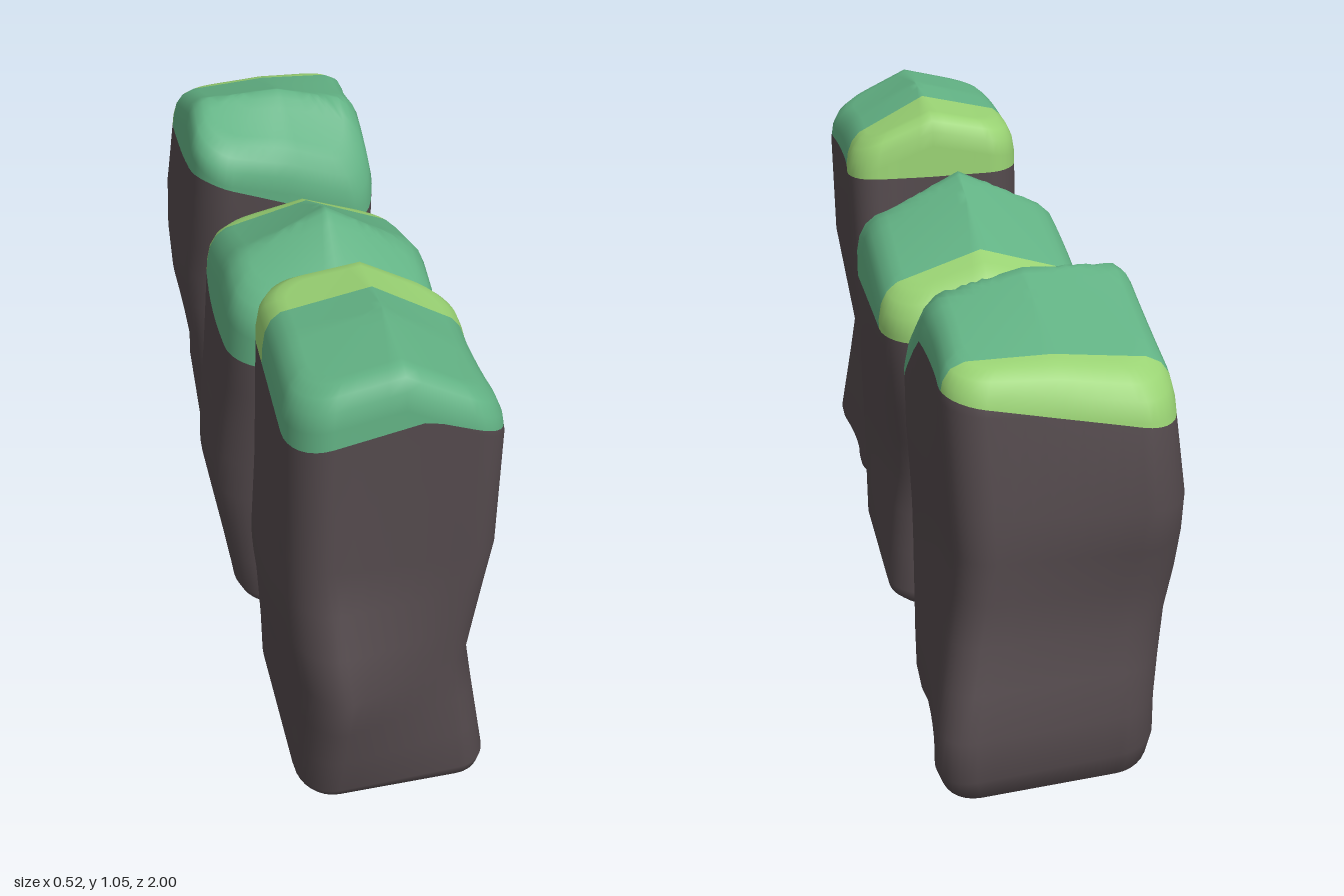
import * as THREE from 'three';
import { mergeVertices } from 'three/addons/utils/BufferGeometryUtils.js';

function material(name, color) {
  const m = new THREE.MeshStandardMaterial({ color });
  m.name = name;
  return m;
}
const rock = material('rock', 0x53494c);
const moss = material('moss', 0x62b284);
const paleMoss = material('pale moss', 0x99d273);

const { lerp } = THREE.MathUtils;

// Rounded square outline in u, v (-1 to 1), running from +u towards +v
function outline(radius = 0.38, steps = 8) {
  const points = [];
  const centre = 1 - radius;
  for (let k = 0; k < 4; k++) {
    const middle = (k + 0.5) * Math.PI / 2;
    const cu = Math.sign(Math.cos(middle)) * centre, cv = Math.sign(Math.sin(middle)) * centre;
    const arc = (i) => (k + i / steps) * Math.PI / 2;
    for (let i = 0; i <= steps; i++)
      points.push([cu + radius * Math.cos(arc(i)), cv + radius * Math.sin(arc(i))]);
    // straight run towards the next corner
    const [u, v] = points[points.length - 1];
    for (let i = 1; i < steps; i++) {
      const d = 2 * centre * i / steps;
      points.push([u - Math.sin(arc(steps)) * d, v + Math.cos(arc(steps)) * d]);
    }
  }
  return points;
}

// Height from a 3 x 3 grid (rows back to front, columns -x to +x) with a ridge at row v = ridge
function crownHeight(grid, ridge, u, v) {
  const along = (t, k, [a, b, c]) => (t < k ? lerp(a, b, (t + 1) / (k + 1)) : lerp(b, c, (t - k) / (1 - k)));
  return along(v, ridge, grid.map((row) => along(u, 0, row)));
}

// Split triangles where the value crosses zero: [positive side, negative side]
function cut(tris, value) {
  return [1, -1].map((sign) => {
    const side = [];
    for (const tri of tris) {
      const d = tri.map(value);
      const poly = [];
      tri.forEach((p, i) => {
        const j = (i + 1) % 3;
        if (d[i] * sign >= 0) poly.push(p);
        if (d[i] * d[j] < 0) poly.push(p.map((c, n) => lerp(c, tri[j][n], d[i] / (d[i] - d[j]))));
      });
      for (let i = 2; i < poly.length; i++) side.push([poly[0], poly[i - 1], poly[i]]);
    }
    return side;
  });
}

function meshFrom(tris, mat, name) {
  const points = tris.flat();
  const geo = new THREE.BufferGeometry();
  geo.setAttribute('position', new THREE.Float32BufferAttribute(points.flatMap((p) => p.slice(0, 3)), 3));
  geo.setAttribute('normal', new THREE.Float32BufferAttribute(points.flatMap((p) => p.slice(3, 6)), 3));
  const mesh = new THREE.Mesh(geo, mat);
  mesh.name = name;
  return mesh;
}

// One stone: a rounded block with bulges [u, v, y, dx, dz] at corners (v = 1 or -1) or side
// middles (v = 0), a pinched +x side, a sloped crown and a moss cap
function pillar({ name, rect: [x0, x1, z0, z1], pinch, bulges, crown, ridge, mossLine, base, paleZ }) {
  const ring = outline();
  const n = ring.length;
  const position = [], mossDepth = [];
  let rings = 0;
  const addRing = (scale, height) => {
    for (const [ru, rv] of ring) {
      const u = ru * scale, v = rv * scale, y = height(u, v);
      let x = lerp(x0, x1, (u + 1) / 2) - pinch * Math.max(0, u) * (1 - v * v);
      let z = lerp(z0, z1, (v + 1) / 2);
      for (const [bu, bv, by, dx, dz] of bulges) {
        const across = bv === 0 ? 1 - v * v : (1 + v * bv) / 2;
        const w = Math.max(0, 1 - Math.abs(y - by) / 0.3) * across * (1 + u * bu) / 2;
        x += dx * w;
        z += dz * w;
      }
      position.push(x, y, z);
      mossDepth.push(y - mossLine(u, v));
    }
    rings++;
  };
  // underside, from the centre out
  for (let s = 0; s < 0.8; s += 0.25) addRing(s, base);
  addRing(0.88, (u, v) => base(u, v) + 0.012);
  addRing(0.96, (u, v) => base(u, v) + 0.03);
  // walls
  for (let y = 0.1; y < 0.65; y += 0.088) addRing(1, () => y);
  // rounded rim and crown, in to the centre
  const top = (drop) => (u, v) => crownHeight(crown, ridge, u, v) - drop;
  addRing(1, top(0.07));
  addRing(0.975, top(0.035));
  addRing(0.92, top(0.012));
  for (let k = 10; k >= 0; k--) addRing(k * 0.083, top(0));

  const index = [];
  for (let r = 0; r < rings - 1; r++) {
    for (let i = 0; i < n; i++) {
      const a = r * n + i, b = r * n + (i + 1) % n;
      if (r > 0) index.push(a, a + n, b);
      if (r < rings - 2) index.push(b, a + n, b + n);
    }
  }
  let geo = new THREE.BufferGeometry();
  geo.setAttribute('position', new THREE.Float32BufferAttribute(position, 3));
  geo.setAttribute('mossDepth', new THREE.Float32BufferAttribute(mossDepth, 1));
  geo.setIndex(index);
  geo = mergeVertices(geo, 1e-5);
  geo.computeVertexNormals();

  const { position: P, normal: N, mossDepth: M } = geo.attributes;
  const corner = (i) => [P.getX(i), P.getY(i), P.getZ(i), N.getX(i), N.getY(i), N.getZ(i), M.getX(i)];
  const ids = geo.index.array;
  const tris = [];
  for (let i = 0; i < ids.length; i += 3) tris.push([corner(ids[i]), corner(ids[i + 1]), corner(ids[i + 2])]);

  // colour borders follow the moss line and a straight line across the crown
  const [mossy, bare] = cut(tris, (p) => p[6]);
  const [pale, green] = cut(mossy, (p) => paleZ - p[2]);
  const group = new THREE.Group();
  group.name = name;
  group.add(meshFrom(bare, rock, 'stone'), meshFrom(green, moss, 'mossCap'), meshFrom(pale, paleMoss, 'paleMossEdge'));
  return group;
}

export function createModel() {
  const model = new THREE.Group();
  model.name = 'mossyPillars';

  model.add(pillar({
    name: 'frontPillar', paleZ: 0.58, ridge: 0.1, pinch: 0.025,
    rect: [-0.19, 0.242, 0.4, 0.918],
    bulges: [
      [-1, 1, 0.36, 0.045, 0.11], [-1, 1, 0.08, 0.01, 0.03], [-1, -1, 0.36, 0.01, -0.04], [-1, 0, 0.42, -0.05, 0],
      [1, 1, 0.36, -0.05, -0.025], [1, -1, 0.36, -0.04, 0.01], [1, -1, 0.9, 0, 0.04], [1, -1, 0.08, -0.01, 0.03],
    ],
    crown: [[0.99, 1.03, 0.94], [1, 1.055, 0.945], [0.99, 1.04, 0.94]],
    mossLine: (u, v) => 0.885 - 0.008 * u + 0.06 * Math.max(0, v) * (1 - Math.abs(u - 0.2)),
    base: () => 0.045,
  }));

  model.add(pillar({
    name: 'middlePillar', paleZ: -0.145, ridge: 0.3, pinch: 0,
    rect: [-0.207, 0.245, -0.254, 0.308],
    bulges: [
      [-1, 1, 0.36, -0.025, -0.01], [-1, 0, 0.38, -0.045, 0], [-1, 0, 0.66, -0.02, 0],
      [1, -1, 0.36, -0.04, 0.05], [-1, -1, 0.36, 0, 0.01], [1, 1, 0.1, -0.01, -0.02],
    ],
    crown: [[0.79, 0.84, 0.78], [0.88, 0.99, 0.87], [0.84, 0.86, 0.82]],
    mossLine: () => 0.715,
    base: (u, v) => 0.045 - 0.035 * Math.max(0, 1 - Math.hypot(u, v - 0.25) / 0.7),
  }));

  model.add(pillar({
    name: 'backPillar', paleZ: -0.83, ridge: 0.35, pinch: 0.025,
    rect: [-0.212, 0.242, -0.9, -0.405],
    bulges: [
      [1, -1, 0.14, 0.04, -0.12], [-1, -1, 0.16, 0.02, -0.05], [-1, -1, 0.66, -0.02, -0.07], [-1, 0, 0.5, -0.04, 0],
      [1, -1, 0.5, -0.02, -0.045], [1, 1, 0.08, 0, -0.06], [1, 1, 0.7, 0.02, -0.015], [-1, 1, 0.86, 0, 0.04],
    ],
    crown: [[0.86, 0.89, 0.9], [0.98, 0.99, 0.94], [0.91, 0.85, 0.76]],
    mossLine: (u, v) => lerp(0.78 + 0.03 * (v + 1), 0.855 - 0.19 * Math.max(0, (v - 0.35) / 0.65), (u + 1) / 2),
    base: (u, v) => 0.055 - 0.052 * Math.min(1, Math.abs(v + 0.15)),
  }));

  return model;
}
